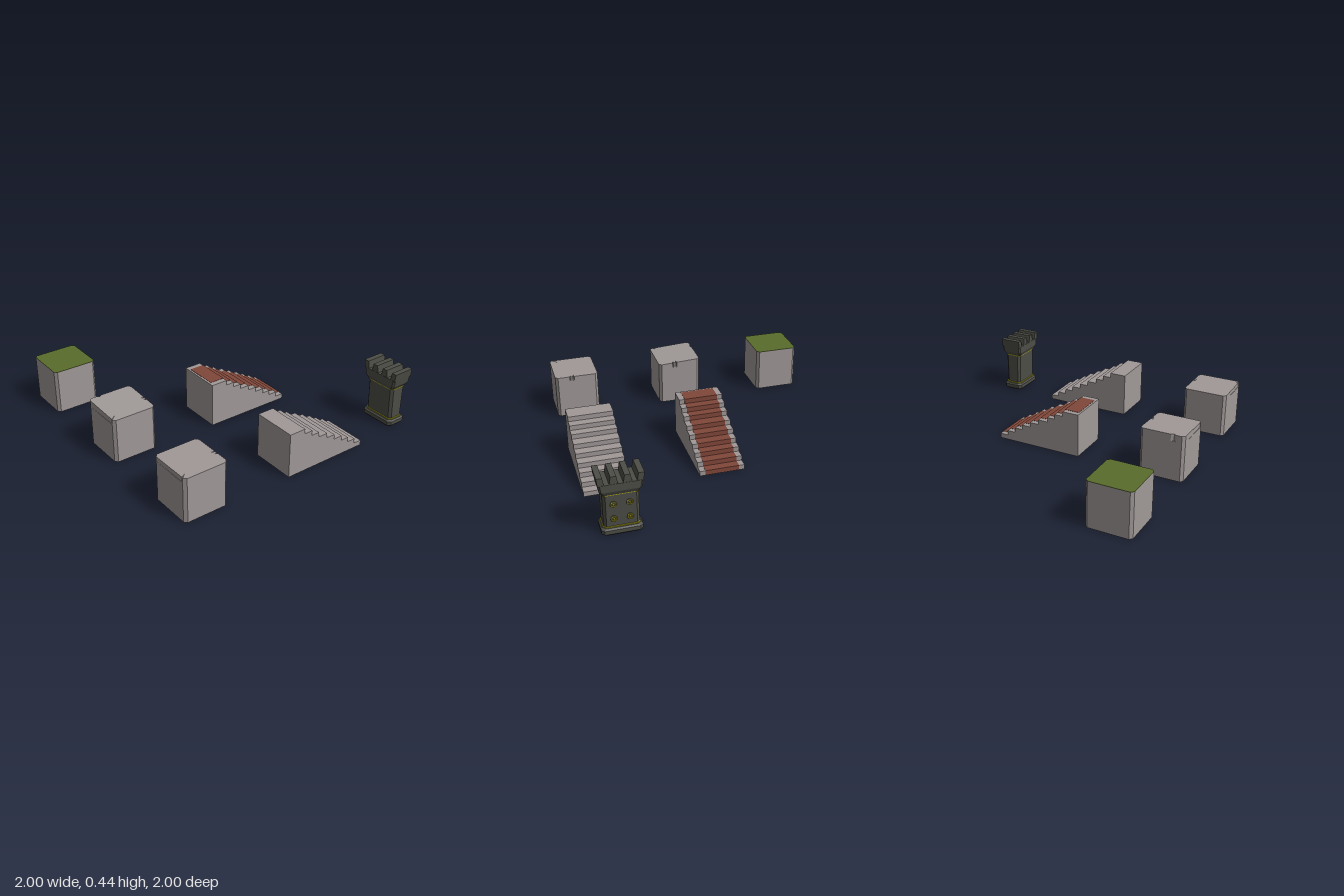
import * as THREE from 'three';

const mat = (name, color) => Object.assign(new THREE.MeshStandardMaterial({ color }), { name });

export function createModel() {
  const stone = mat('stone', 0xa09998);
  const grass = mat('grass', 0x5a6c2b);
  const carpet = mat('carpet', 0x81473a);
  const darkStone = mat('darkStone', 0x4d4e47);
  const gold = mat('gold', 0xa09a1e);
  const root = new THREE.Group();
  root.name = 'castlePieces';

  const add = (parent, name, geo, material, x = 0, y = 0, z = 0) => {
    const m = new THREE.Mesh(geo, material);
    m.name = name;
    m.position.set(x, y, z);
    parent.add(m);
    return m;
  };
  const group = (name, x, y, z) => {
    const g = new THREE.Group();
    g.name = name;
    g.position.set(x, y, z);
    root.add(g);
    return g;
  };
  const extrude = (pts, depth) => new THREE.ExtrudeGeometry(
    new THREE.Shape(pts.map(([x, y]) => new THREE.Vector2(x, y))), { depth, bevelEnabled: false });
  // Upright prism from an outline given as x, z pairs
  const prism = (pts, height) => extrude(pts.map(([x, z]) => [x, -z]), height).rotateX(-Math.PI / 2);

  // ---- Blocks: a chamfered column with a chipped top layer ----
  const H = 0.166, C = 0.02, I = H - C;
  const column = [[-I, H], [I, H], [H, I], [H, -I], [I, -H], [-I, -H], [-H, -I], [-H, I]];
  const crackedSide = [[H, 0.056], [H - 0.022, 0.05], [H, 0.046], [H, 0.03], [H - 0.03, 0.025], [H, 0.019]];
  const chippedCorner = [[-H, I], [-H + 0.042, I - 0.035], [-H + 0.004, I - 0.012]];
  const dentedBack = [[-0.065, -H], [-0.085, -H + 0.012], [-0.105, -H]];
  const chipped = (corner, dent) => [
    [-I, H], [I, H], [H, I], ...crackedSide, [H, -I], [I, -H],
    ...(dent ? dentedBack : []), [-I, -H], [-H, -I],
    ...(corner ? [chippedCorner[2], chippedCorner[1], chippedCorner[0]] : [[-H, I]]),
  ];
  const block = (name, z, outline, tilt) => {
    const g = group(name, -0.834, 0, z);
    add(g, 'blockBody', prism(column, 0.3), stone);
    const top = prism(outline, 0.033);
    const p = top.attributes.position;
    // Raise the top towards the back
    for (let i = 0; i < p.count; i++) {
      if (p.getY(i) > 0.02) p.setY(i, p.getY(i) + tilt * (H - p.getZ(i)) / (2 * H));
    }
    top.computeVertexNormals();
    add(g, 'blockTop', top, stone, 0, 0.3, 0);
    return g;
  };
  block('plainBlock', 0.827, chipped(true, false), 0);
  block('wornBlock', -0.003, chipped(true, true), 0.017);
  const grassBlock = block('grassBlock', -0.834, column, 0);
  add(grassBlock, 'grassTop', prism(column, 0.003), grass, 0, 0.3325, 0);

  // ---- Staircases: nine steps going down towards +x ----
  const treads = [-0.035, 0.03, 0.093, 0.17, 0.24, 0.31, 0.373, 0.44, 0.503];
  const stepProfile = (x0, y0, grow) => {
    const pts = [[x0, y0]];
    for (let i = treads.length - 1; i >= 0; i--) {
      const bottom = i === treads.length - 1 ? y0 : (8 - i) * 0.037 + grow;
      pts.push([treads[i] + grow, bottom], [treads[i] + grow, (9 - i) * 0.037 + grow]);
    }
    pts.push([x0, 0.333 + grow]);
    return pts;
  };
  const stairs = (name, x, z) => {
    const g = group(name, x, 0, z);
    add(g, 'steps', extrude(stepProfile(-0.162, 0, 0), 0.332), stone, 0, 0, -0.166);
    return g;
  };
  stairs('plainStairs', 0, 0.833);
  const carpeted = stairs('carpetedStairs', -0.02, 0);
  add(carpeted, 'carpetRunner', extrude(stepProfile(-0.147, 0.003, 0.002), 0.25), carpet, 0, 0, -0.125);

  // ---- Tower ----
  // Skin of chamfered rectangular sections [y, half x, half z], capped at both ends
  const loft = (sections, c) => {
    const rings = sections.map(([y, a, b]) => [
      [a, y, b - c], [a, y, c - b], [a - c, y, -b], [c - a, y, -b],
      [-a, y, c - b], [-a, y, b - c], [c - a, y, b], [a - c, y, b]]);
    const v = [];
    for (let r = 0; r < rings.length - 1; r++) {
      for (let i = 0; i < 8; i++) {
        const j = (i + 1) % 8, [lo, hi] = [rings[r], rings[r + 1]];
        v.push(...lo[i], ...lo[j], ...hi[j], ...lo[i], ...hi[j], ...hi[i]);
      }
    }
    const top = rings[rings.length - 1], bottom = rings[0];
    for (let i = 1; i < 7; i++) {
      v.push(...top[0], ...top[i], ...top[i + 1], ...bottom[0], ...bottom[i + 1], ...bottom[i]);
    }
    const geo = new THREE.BufferGeometry();
    geo.setAttribute('position', new THREE.Float32BufferAttribute(v, 3));
    geo.computeVertexNormals();
    return geo;
  };
  const tower = group('tower', 0.908, 0, 0.828);
  add(tower, 'towerBase', loft([[0, 0.07, 0.127], [0.012, 0.08, 0.137], [0.04, 0.08, 0.137], [0.05, 0.068, 0.127]], 0.02), darkStone);
  add(tower, 'towerBody', loft([[0.05, 0.06, 0.119], [0.305, 0.066, 0.119]], 0.018), darkStone);
  add(tower, 'towerHead', loft([[0.305, 0.07, 0.118], [0.335, 0.084, 0.138], [0.39, 0.084, 0.147]], 0.012), darkStone);
  add(tower, 'lowerTrim', loft([[0.053, 0.066, 0.124], [0.061, 0.066, 0.124]], 0.018), gold);
  add(tower, 'upperTrim', loft([[0.3, 0.07, 0.123], [0.307, 0.07, 0.123]], 0.018), gold);

  // Battlements: four tapered ridges running front to back through the head
  const merlons = [
    [-0.147, -0.104, -0.154, -0.115], [-0.074, -0.016, -0.064, -0.026],
    [0.016, 0.074, 0.026, 0.064], [0.104, 0.147, 0.115, 0.154]];
  for (const [b0, b1, t0, t1] of merlons) {
    const ridge = extrude([[b0, 0.385], [b1, 0.385], [t1, 0.445], [t0, 0.445]], 0.164);
    add(tower, 'merlon', ridge.rotateY(-Math.PI / 2), darkStone, 0.082, 0, 0);
  }

  // Four round studs on the outer face
  for (const y of [0.125, 0.235]) {
    for (const z of [-0.053, 0.053]) {
      const stud = new THREE.Group();
      stud.name = 'stud';
      stud.position.set(0.063, y, z);
      tower.add(stud);
      add(stud, 'studPlate', new THREE.CylinderGeometry(0.018, 0.018, 0.024, 10).rotateZ(-Math.PI / 2), darkStone);
      add(stud, 'studRing', new THREE.TorusGeometry(0.018, 0.005, 6, 12).rotateY(Math.PI / 2), gold, 0.013);
      add(stud, 'studCore', new THREE.CylinderGeometry(0.005, 0.009, 0.03, 8).rotateZ(-Math.PI / 2), gold, 0.012);
    }
  }
  return root;
}
